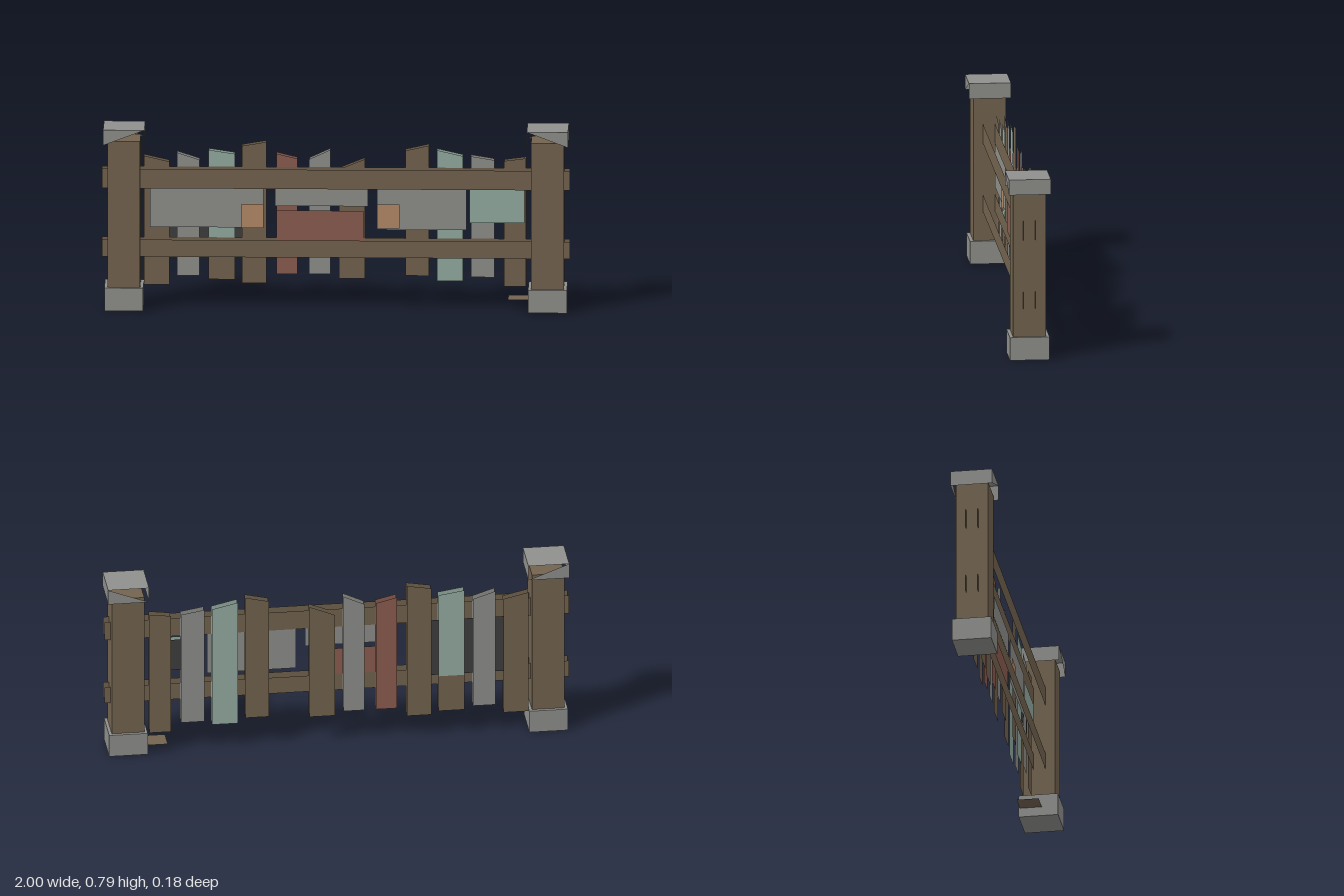
import * as THREE from 'three';

const mat = (name, color) => {
  const m = new THREE.MeshStandardMaterial({ color, side: THREE.DoubleSide });
  m.name = name;
  return m;
};

export function createModel() {
  const wood = mat('weathered wood', 0x746450);
  const stone = mat('grey stone', 0x90918d);
  const teal = mat('faded teal', 0x96aea2);
  const red = mat('rust red', 0x8d5d51);
  const orange = mat('rust orange', 0xb78b69);
  const dark = mat('dark backing', 0x403f40);
  const root = new THREE.Group();
  root.name = 'patchworkFence';

  const add = (name, geometry, material) => {
    const mesh = new THREE.Mesh(geometry, material);
    mesh.name = name;
    root.add(mesh);
    return mesh;
  };

  // Box given by its limits on each axis
  const box = (x0, x1, y0, y1, z0, z1) =>
    new THREE.BoxGeometry(x1 - x0, y1 - y0, z1 - z0)
      .translate((x0 + x1) / 2, (y0 + y1) / 2, (z0 + z1) / 2);

  // Flat upright sheet with the given outline at depth z
  const sheet = (points, z) =>
    new THREE.ShapeGeometry(new THREE.Shape(points.map(([x, y]) => new THREE.Vector2(x, y))))
      .translate(0, 0, z);

  // Four-cornered outline whose top edge slopes from yl to yr
  const outline = (x0, x1, y0, yl, yr = yl) => [[x0, y0], [x1, y0], [x1, yr], [x0, yl]];

  // Board made of a front and a back sheet
  const board = (name, points, zFront, zBack, material) => {
    add(name + 'Front', sheet(points, zFront), material);
    add(name + 'Back', sheet(points, zBack), material);
  };

  // Posts with stone base and broken, hollow cap
  const capLow = 0.726, capHigh = 0.793, half = 0.088, depth = 0.09;
  for (const [side, s] of [['left', 1], ['right', -1]]) {
    const x = s * 0.905, inner = x - s * half, outer = x + s * half;
    add(side + 'Post', box(x - 0.07, x + 0.07, 0.05, 0.74, -0.07, 0.07), wood);
    add(side + 'PostBase', box(x - 0.083, x + 0.083, 0, 0.1, -0.085, 0.085), stone);
    add(side + 'CapTop', new THREE.PlaneGeometry(half * 2, depth * 2)
      .rotateX(-Math.PI / 2).translate(x, capHigh, 0), stone);
    for (const [name, edge] of [['Inner', inner], ['Outer', outer]]) {
      add(side + 'Cap' + name, new THREE.PlaneGeometry(depth * 2, capHigh - capLow)
        .rotateY(Math.PI / 2).translate(edge, (capLow + capHigh) / 2, 0), stone);
    }
    add(side + 'CapFront',
      sheet([[inner, capHigh], [outer, capHigh], [outer, capLow]], depth), stone);
    add(side + 'CapBack',
      sheet([[outer, capHigh], [outer, capLow], [inner, capLow]], -depth), stone);
  }

  // Rails, ends poking through the posts
  board('lowerRail', outline(-1, 1, 0.225, 0.3), 0.028, -0.024, wood);
  board('upperRail', outline(-1, 1, 0.525, 0.61), 0.028, -0.024, wood);

  // Uneven slats: x0, x1, bottom, top left, top right, material
  const slats = [
    [-0.822, -0.713, 0.09, 0.655, 0.63, wood],
    [-0.68, -0.583, 0.13, 0.67, 0.638, stone],
    [-0.545, -0.433, 0.115, 0.28, 0.28, wood],
    [-0.545, -0.433, 0.28, 0.682, 0.665, teal],
    [-0.403, -0.298, 0.1, 0.7, 0.718, wood],
    [-0.255, -0.165, 0.14, 0.667, 0.645, red],
    [-0.115, -0.025, 0.14, 0.643, 0.685, stone],
    [0.012, 0.123, 0.122, 0.6, 0.645, wood],
    [0.296, 0.397, 0.135, 0.683, 0.706, wood],
    [0.43, 0.542, 0.112, 0.686, 0.66, teal],
    [0.575, 0.676, 0.13, 0.66, 0.643, stone],
    [0.718, 0.812, 0.09, 0.64, 0.652, wood],
  ];
  slats.forEach(([x0, x1, y0, yl, yr, m], i) =>
    board('slat' + (i + 1), outline(x0, x1, y0, yl, yr), -0.028, -0.062, m));

  // Sheet patches between rails and slats: x0, x1, y0, y1, z, material
  const patches = [
    ['wideGreyPatch', -0.795, -0.31, 0.345, 0.54, -0.019, stone],
    ['middleGreyPatch', -0.262, 0.137, 0.44, 0.54, -0.019, stone],
    ['rightGreyPatch', 0.175, 0.558, 0.338, 0.54, -0.019, stone],
    ['redPatch', -0.255, 0.117, 0.28, 0.42, -0.019, red],
    ['tealPatch', 0.57, 0.805, 0.37, 0.52, -0.019, teal],
    ['leftOrangePatch', -0.405, -0.31, 0.345, 0.45, -0.011, orange],
    ['rightOrangePatch', 0.175, 0.27, 0.345, 0.45, -0.011, orange],
    ['leftBacking', -0.8, -0.31, 0.28, 0.54, -0.045, dark],
    ['rightBacking', 0.575, 0.8, 0.375, 0.518, -0.045, dark],
  ];
  for (const [name, x0, x1, y0, y1, z, m] of patches) {
    add(name, sheet(outline(x0, x1, y0, y1), z), m);
  }

  // Loose scrap of wood at the foot of one post
  add('woodScrap', new THREE.PlaneGeometry(0.095, 0.095)
    .rotateX(-Math.PI / 2).translate(0.7825, 0.041, -0.0325), wood);

  return root;
}
